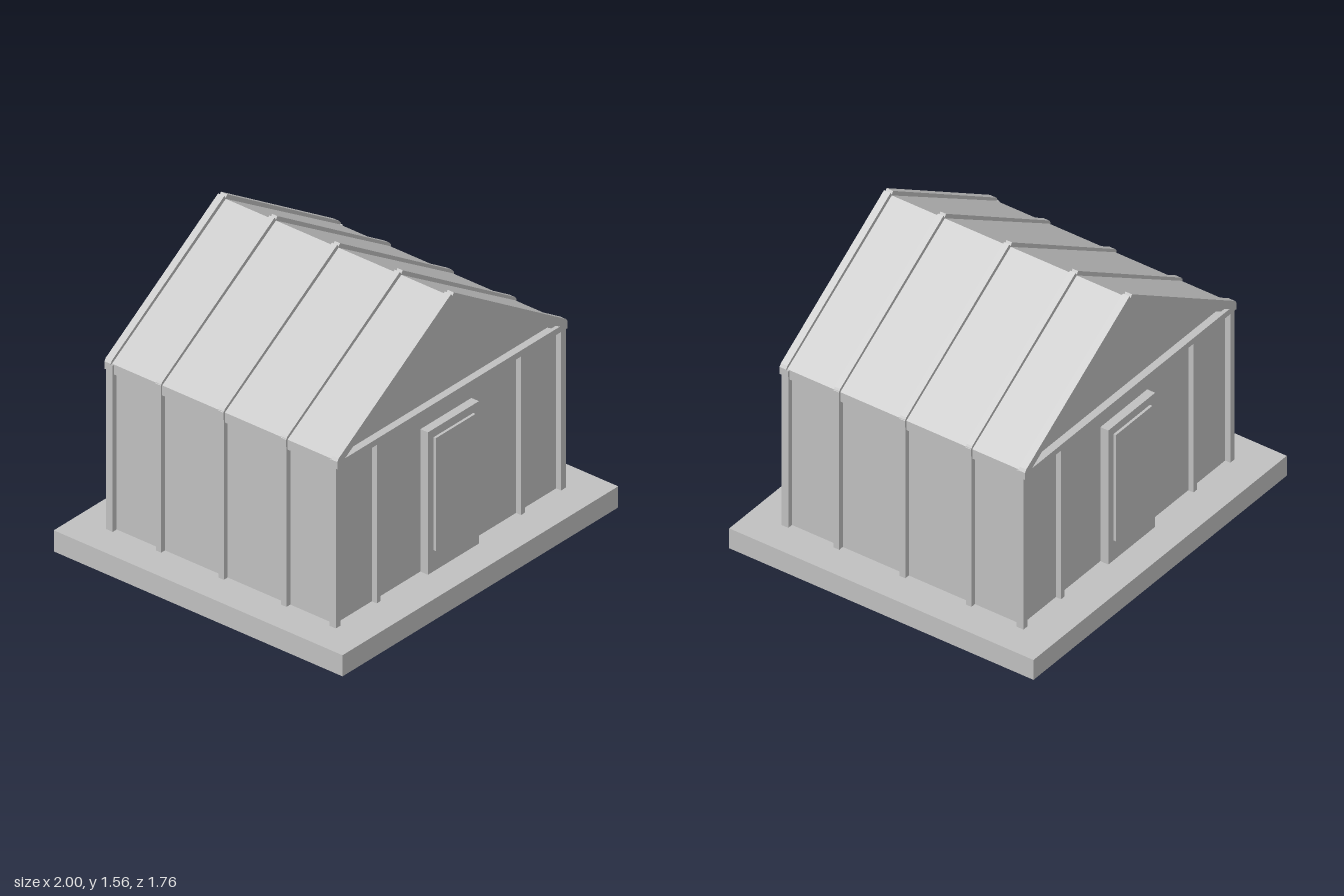
import * as THREE from 'three';

export function createModel() {
  const house = new THREE.Group();
  house.name = 'house';
  const grey = new THREE.MeshStandardMaterial({ color: 0xc0c0c0 });
  grey.name = 'grey';

  function add(name, geometry) {
    const mesh = new THREE.Mesh(geometry, grey);
    mesh.name = name;
    house.add(mesh);
  }
  // Box given by its limits on each axis
  function box(name, x0, x1, y0, y1, z0, z1) {
    add(name, new THREE.BoxGeometry(x1 - x0, y1 - y0, z1 - z0)
      .translate((x0 + x1) / 2, (y0 + y1) / 2, (z0 + z1) / 2));
  }
  // Outline in x and y, extruded from z0 to z1
  function prism(name, points, z0, z1) {
    const shape = new THREE.Shape(points.map(([x, y]) => new THREE.Vector2(x, y)));
    add(name, new THREE.ExtrudeGeometry(shape, { depth: z1 - z0, bevelEnabled: false }).translate(0, 0, z0));
  }

  const floor = 0.115;
  box('base', -1, 1, 0, floor, -0.88, 0.88);

  // Walls with both gables
  prism('walls', [[-0.805, floor], [0.805, floor], [0.805, 1.0], [0, 1.505], [-0.805, 1.0]], -0.67, 0.67);

  // Pitched roof slab, its vertical ends forming the eaves
  prism('roof', [
    [-0.825, 0.968], [0, 1.48], [0.825, 0.968],
    [0.825, 1.022], [0, 1.54], [-0.825, 1.022],
  ], -0.69, 0.69);

  for (const side of [-1, 1]) {
    // Rafters, leaving a small notch at the ridge
    for (const [z, width] of [[-0.691, 0.038], [-0.382, 0.032], [0, 0.032], [0.382, 0.032], [0.691, 0.038]]) {
      prism('rafter', [
        [0, 1.51], [0, 1.545], [side * 0.01, 1.56], [side * 0.825, 1.04],
        [side * 0.835, 1.025], [side * 0.835, 0.985],
      ], z - width / 2, z + width / 2);
    }
    // Side wall posts
    for (const z of [-0.382, 0, 0.382]) {
      const x = side * 0.815;
      box('sidePost', x - 0.018, x + 0.018, floor, 1.03, z - 0.016, z + 0.016);
    }
    for (const end of [-1, 1]) {
      const cx = side * 0.817, cz = end * 0.68;
      box('cornerPost', cx - 0.017, cx + 0.017, floor, 1.02, cz - 0.02, cz + 0.02);
      const px = side * 0.523;
      box('endPost', px - 0.014, px + 0.014, floor, 0.99, cz - 0.02, cz + 0.02);
    }
  }

  // Tie beam, door frame and raised door panel on each end
  for (const end of [-1, 1]) {
    const plate = (name, halfWidth, y0, y1, z0, z1) =>
      box(name, -halfWidth, halfWidth, y0, y1, end > 0 ? z0 : -z1, end > 0 ? z1 : -z0);
    plate('tieBeam', 0.835, 0.987, 1.02, 0.66, 0.71);
    plate('doorFrame', 0.185, floor, 0.89, 0.66, 0.716);
    plate('doorPanel', 0.143, 0.23, 0.845, 0.71, 0.73);
  }
  return house;
}
